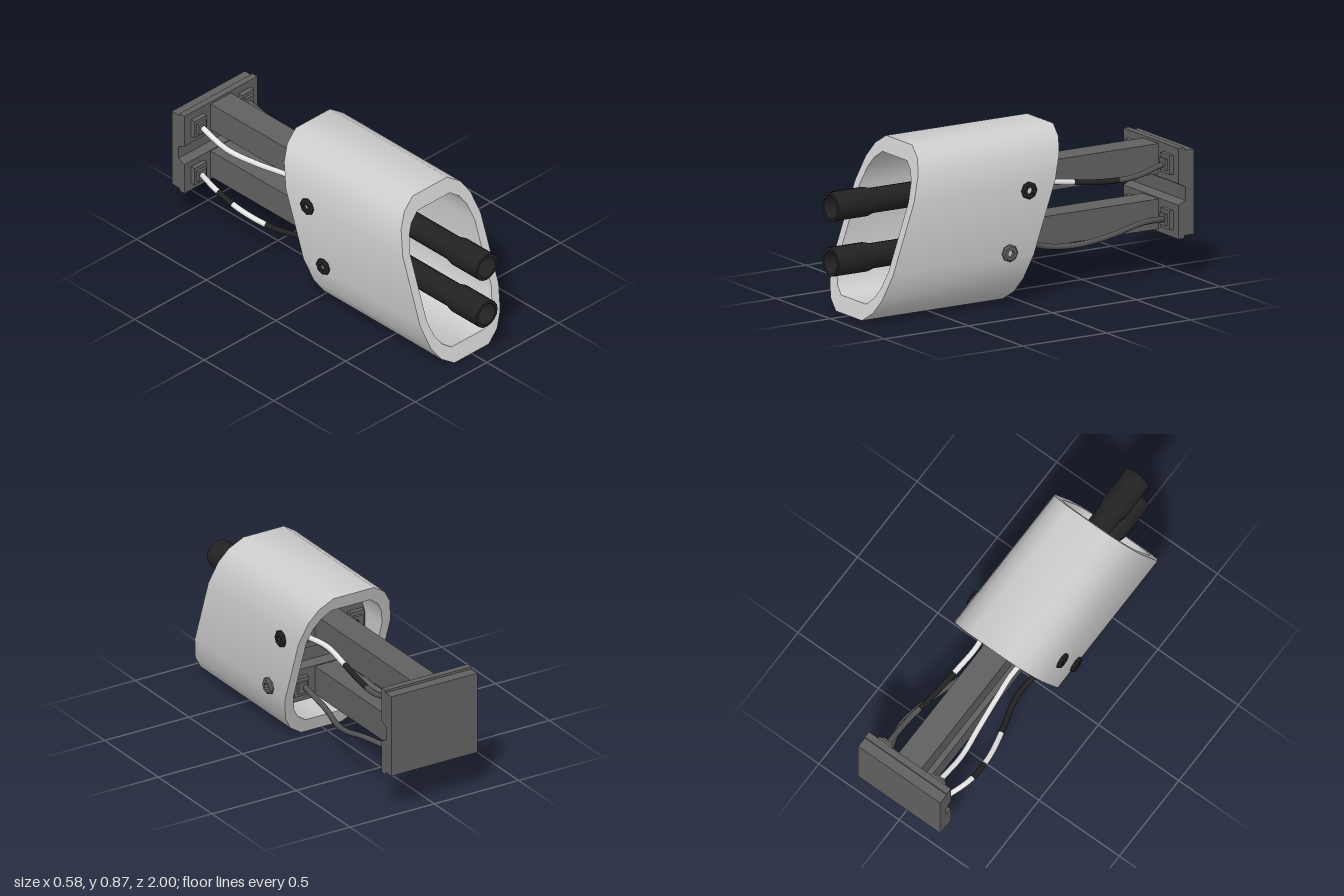
import * as THREE from 'three';
import { toCreasedNormals } from 'three/addons/utils/BufferGeometryUtils.js';

const mat = (name, color) => new THREE.MeshStandardMaterial({ name, color });

export function createModel() {
  const root = new THREE.Group();
  const lightGrey = mat('light grey shell', 0xcecece);
  const darkGrey = mat('dark grey metal', 0x616161);
  const black = mat('black rubber', 0x222222);
  const white = mat('white insulation', 0xf0f0f0);
  const wireGrey = mat('grey insulation', 0x555555);

  const add = (name, geo, material, x = 0, y = 0, z = 0, parent = root) => {
    const m = new THREE.Mesh(geo, material);
    m.name = name;
    m.position.set(x, y, z);
    parent.add(m);
    return m;
  };

  // Shell: rounded tube, sheared so both ends slant backwards
  const ring = (half) => [
    ...half, ...half.map(([x, y]) => [-x, y]).reverse(),
  ].map(([x, y]) => new THREE.Vector2(x, y));
  const outer = ring([[0.12, 0], [0.195, 0.05], [0.242, 0.125], [0.273, 0.25],
    [0.273, 0.615], [0.242, 0.74], [0.195, 0.815], [0.12, 0.865]]);
  const inner = ring([[0.113, 0.08], [0.167, 0.118], [0.2, 0.17], [0.225, 0.26],
    [0.225, 0.605], [0.2, 0.695], [0.167, 0.748], [0.113, 0.787]]);
  const profile = new THREE.Shape(outer);
  profile.holes.push(new THREE.Path(inner));
  const shell = new THREE.ExtrudeGeometry(profile, { depth: 0.84, bevelEnabled: false });
  const p = shell.attributes.position;
  for (let i = 0; i < p.count; i++) p.setZ(i, p.getZ(i) + 0.05 - 0.347 * p.getY(i));
  add('shell', toCreasedNormals(shell, 0.7), lightGrey);

  // Grooved end plates, profile (depth, height) extruded across x
  const plate = (name, z, facing, backGroove) => {
    const pts = [[0, 0.205], [0.035, 0.205], [0.035, 0.22], [0.09, 0.22]];
    if (backGroove) pts.push([0.09, 0.38], [0.06, 0.4], [0.06, 0.47], [0.09, 0.49]);
    pts.push([0.09, 0.66], [0.035, 0.66], [0.035, 0.673], [0, 0.673],
      [0, 0.49], [0.04, 0.47], [0.04, 0.4], [0, 0.38]);
    const geo = new THREE.ExtrudeGeometry(
      new THREE.Shape(pts.map(([u, y]) => new THREE.Vector2(u, y))),
      { depth: 0.51, bevelEnabled: false });
    geo.translate(0, 0, -0.255).rotateY(Math.PI / 2);
    const group = new THREE.Group();
    group.name = name;
    group.position.z = z;
    if (facing < 0) group.rotation.y = Math.PI;
    root.add(group);
    add(name + 'Body', geo, darkGrey, 0, 0, 0, group);
    // Wire terminals
    for (const x of [-0.165, 0.165]) for (const y of [0.295, 0.58]) {
      add('terminalBase', new THREE.BoxGeometry(0.085, 0.1, 0.025), darkGrey, x, y, 0.0125, group);
      add('terminalCap', new THREE.BoxGeometry(0.055, 0.06, 0.015), darkGrey, x, y, 0.0325, group);
    }
  };
  plate('backPlate', -0.91, 1, false);
  plate('innerPlate', 0, -1, true);

  // Bars joining the plates, and the flared hoses at the front
  const hose = new THREE.LatheGeometry([[0.064, 0.06], [0.064, 0.76], [0.075, 0.8], [0.075, 1],
    [0.06, 1], [0.06, 0.9], [0, 0.9]].map(([r, z]) => new THREE.Vector2(r, z)), 16);
  hose.rotateX(Math.PI / 2);
  const hoseGeo = toCreasedNormals(hose, 0.6);
  for (const [barY, hoseY] of [[0.2975, 0.292], [0.5825, 0.577]]) {
    add('bar', new THREE.BoxGeometry(0.142, 0.155, 0.93), darkGrey, 0, barY, -0.455);
    add('hose', hoseGeo, black, 0, hoseY, 0);
  }

  // Ring nuts on the shell sides
  const nut = new THREE.LatheGeometry([[0.019, 0], [0.045, 0], [0.045, 0.01], [0.036, 0.019],
    [0.019, 0.019], [0.019, 0]].map(([r, h]) => new THREE.Vector2(r, h)), 8);
  const nutGeo = toCreasedNormals(nut, 0.4);
  for (const s of [-1, 1]) for (const [y, z] of [[0.583, -0.005], [0.275, 0.11]]) {
    const m = add('nut', nutGeo, s > 0 && y < 0.4 ? darkGrey : black, s * 0.272, y, z);
    m.rotation.z = -s * Math.PI / 2;
  }

  // Wires: each path is cut into coloured lengths [end fraction, material]
  class Part extends THREE.Curve {
    constructor(curve, a, b) { super(); Object.assign(this, { curve, a, b }); }
    getPoint(t, target = new THREE.Vector3()) {
      return this.curve.getPoint(this.a + (this.b - this.a) * t, target);
    }
  }
  const upper = [[0.15, 0.58, -0.03], [0.115, 0.57, -0.18], [0.125, 0.548, -0.35],
    [0.142, 0.53, -0.52], [0.165, 0.535, -0.7], [0.162, 0.58, -0.885]];
  const lower = [[0.155, 0.3, -0.03], [0.135, 0.238, -0.2], [0.18, 0.235, -0.37],
    [0.22, 0.27, -0.54], [0.225, 0.31, -0.71], [0.165, 0.295, -0.885]];
  const wire = (name, side, path, lengths) => {
    const curve = new THREE.CatmullRomCurve3(
      path.map(([x, y, z]) => new THREE.Vector3(side * x, y, z)));
    let a = 0;
    for (const [b, material] of lengths) {
      add(name, new THREE.TubeGeometry(new Part(curve, a, b), 16, 0.015, 8), material);
      a = b;
    }
  };
  wire('leftUpperWire', 1, upper, [[0.42, white], [0.71, black], [1, wireGrey]]);
  wire('leftLowerWire', 1, lower, [[1, wireGrey]]);
  wire('rightUpperWire', -1, upper, [[0.13, black], [1, white]]);
  wire('rightLowerWire', -1, lower, [[0.43, black], [0.66, white], [0.78, black], [1, white]]);

  return root;
}
